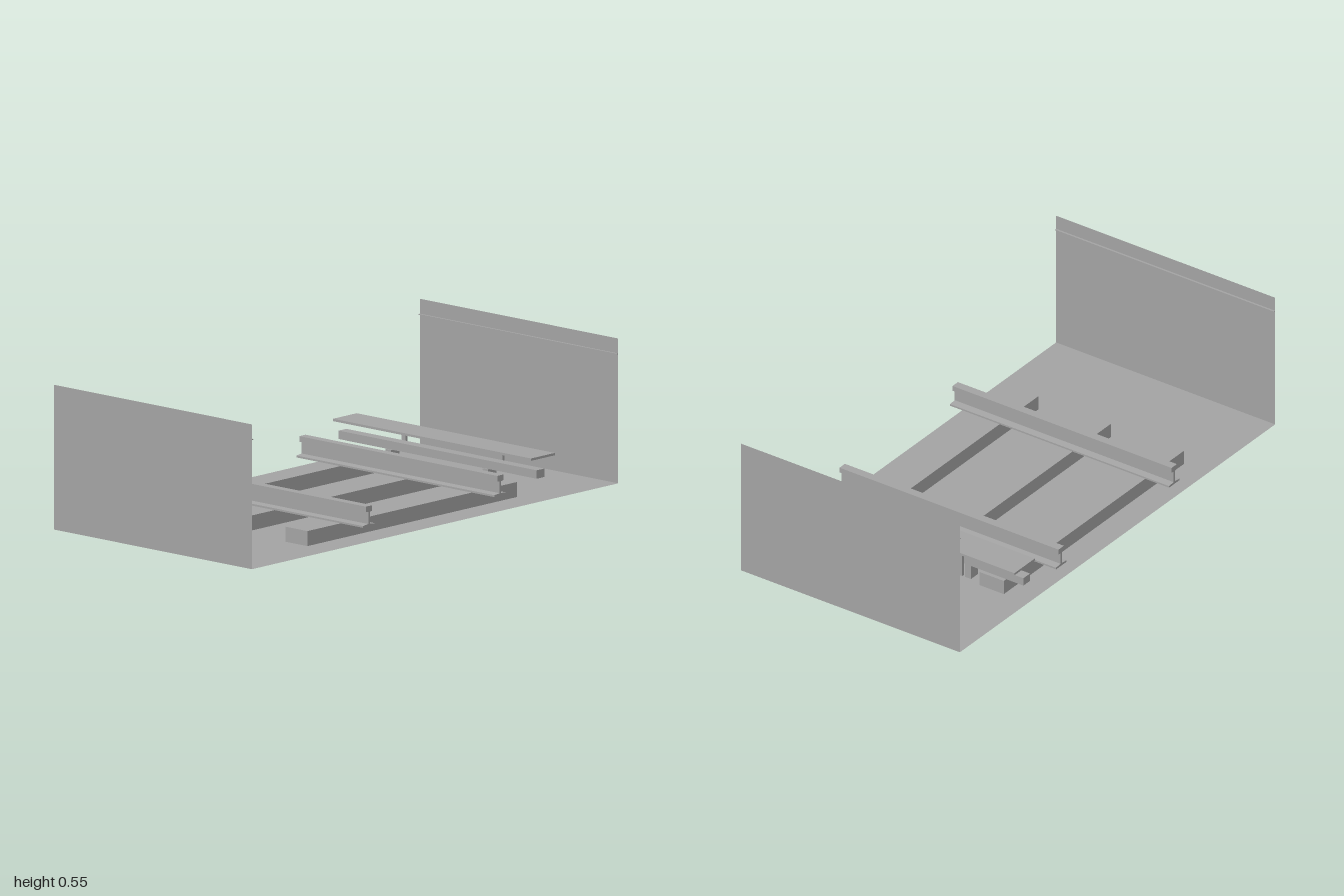
import * as THREE from 'three';

export function createModel() {
  const model = new THREE.Group();
  const grey = new THREE.MeshStandardMaterial({ color: 0xa3a3a3 });
  grey.name = 'concrete grey';
  const greySheet = new THREE.MeshStandardMaterial({ color: 0xa3a3a3, side: THREE.DoubleSide });
  greySheet.name = 'concrete grey sheet';

  const add = (name, geometry, material = grey) => {
    const mesh = new THREE.Mesh(geometry, material);
    mesh.name = name;
    model.add(mesh);
    return mesh;
  };
  // Box given by its limits on each axis
  const box = (name, x0, x1, y0, y1, z0, z1) =>
    add(name, new THREE.BoxGeometry(x1 - x0, y1 - y0, z1 - z0))
      .position.set((x0 + x1) / 2, (y0 + y1) / 2, (z0 + z1) / 2);

  // Trackbed floor
  add('floor', new THREE.PlaneGeometry(2, 1).rotateX(-Math.PI / 2), greySheet);

  // Side walls, each with a thin ledge near the top
  for (const side of [-1, 1]) {
    const wall = add('wall', new THREE.PlaneGeometry(1, 0.55).rotateY(-side * Math.PI / 2), greySheet);
    wall.position.set(side, 0.275, 0);
    const ledge = add('wallLedge', new THREE.BoxGeometry(0.008, 0.003, 1));
    ledge.position.set(side * 0.996, 0.492, 0);
  }

  // Sleepers
  for (const z of [-0.335, -0.003, 0.33]) box('sleeper', -0.573, 0.57, 0.001, 0.058, z - 0.056, z + 0.056);

  // Running rails: foot, web and head in one section
  const half = [[0.033, 0.058], [0.033, 0.065], [0.004, 0.068], [0.004, 0.113], [0.017, 0.115], [0.017, 0.136]];
  const section = [...half, ...half.map(([x, y]) => [-x, y]).reverse()];
  const railShape = new THREE.Shape(section.map(([x, y]) => new THREE.Vector2(x, y)));
  for (const x of [-0.36, 0.357]) {
    const rail = new THREE.ExtrudeGeometry(railShape, { depth: 1, bevelEnabled: false });
    add('runningRail', rail).position.set(x, 0, -0.5);
  }

  // Power rail with its protective cover board
  box('powerRail', 0.555, 0.597, 0.09, 0.122, -0.5, 0.5);
  box('coverBoard', 0.524, 0.654, 0.163, 0.172, -0.5, 0.5);

  // Insulators and cover brackets between the sleepers
  for (const z of [-0.245, 0.245]) {
    box('insulator', 0.55, 0.595, 0.032, 0.09, z - 0.014, z + 0.014);
    box('coverBracket', 0.633, 0.645, 0.068, 0.163, z - 0.01, z + 0.01);
  }

  return model;
}
